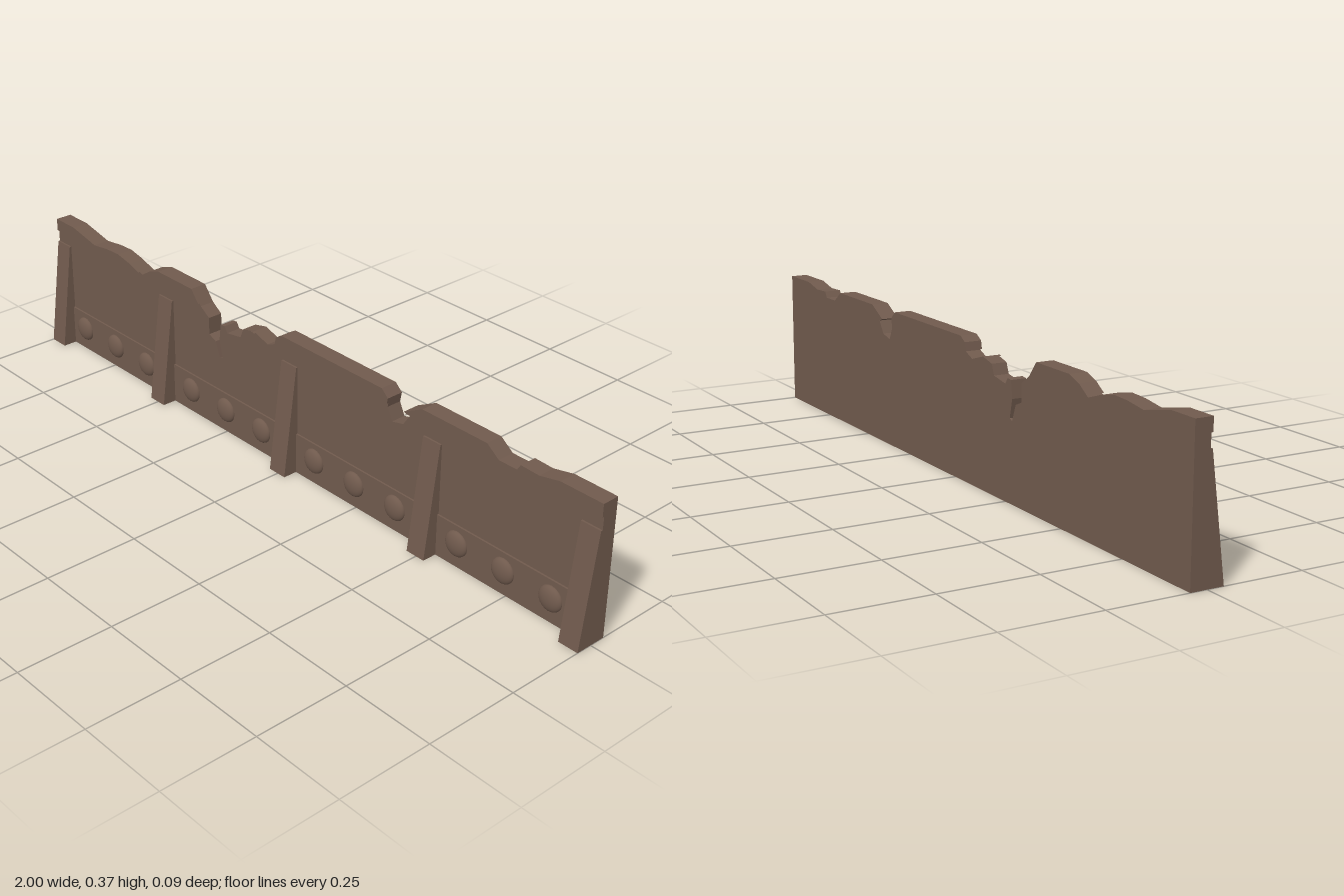
import * as THREE from 'three';

const BACK = -0.043, FACE = -0.002, TRIM = 0.003; // z of back, wall face, raised trim
const TOP = 0.369, LIP = 0.335;

// Broken top edge, from -x to +x
const edge = [
  [-1, TOP], [-0.92, TOP], [-0.82, 0.348], [-0.76, 0.356], [-0.71, 0.358], [-0.66, 0.348],
  [-0.607, 0.331], [-0.57, 0.355], [-0.53, TOP], [-0.388, TOP], [-0.356, 0.329], [-0.323, 0.307],
  [-0.323, 0.26], [-0.297, 0.249], [-0.281, 0.206], [-0.27, 0.211], [-0.281, 0.26], [-0.275, 0.305],
  [-0.259, 0.307], [-0.249, 0.291], [-0.195, 0.3], [-0.184, 0.327], [-0.142, 0.337], [-0.088, 0.321],
  [-0.056, 0.334], [-0.051, 0.356], [-0.029, TOP], [0.329, TOP], [0.35, 0.35], [0.345, 0.324],
  [0.361, 0.291], [0.398, 0.3], [0.42, 0.332], [0.404, 0.338], [0.463, TOP], [0.666, TOP],
  [0.703, 0.342], [0.757, 0.342], [0.767, 0.358], [0.821, 0.356], [0.88, TOP], [1, TOP],
];

function slab(points, z0, z1) {
  const shape = new THREE.Shape(points.map(([x, y]) => new THREE.Vector2(x, y)));
  const geo = new THREE.ExtrudeGeometry(shape, { depth: z1 - z0, bevelEnabled: false });
  return geo.translate(0, 0, z0);
}

// Splits the edge into the pieces that rise above height h
function piecesAbove(points, h) {
  const pieces = [];
  let run = points[0][1] > h ? [[points[0][0], h], points[0]] : [];
  for (let i = 1; i < points.length; i++) {
    const [a, b] = [points[i - 1], points[i]];
    if ((a[1] > h) !== (b[1] > h)) {
      const t = (h - a[1]) / (b[1] - a[1]);
      run.push([a[0] + t * (b[0] - a[0]), h]);
      if (b[1] <= h) { pieces.push(run); run = []; }
    }
    if (b[1] > h) run.push(b);
  }
  if (run.length) pieces.push([...run, [points.at(-1)[0], h]]);
  return pieces;
}

export function createModel() {
  const group = new THREE.Group();
  const material = new THREE.MeshStandardMaterial({ color: 0x705a4d });
  const add = (name, geo, x = 0, y = 0, z = 0) => {
    const mesh = new THREE.Mesh(geo, material);
    mesh.name = name;
    mesh.position.set(x, y, z);
    group.add(mesh);
    return mesh;
  };

  // Wall with broken top
  add('wall', slab([[-1, 0], ...edge, [1, 0]], BACK, FACE));

  // Raised lip along the surviving top
  for (const piece of piecesAbove(edge, LIP)) add('topLip', slab(piece, FACE, TRIM));

  // Band along the foot
  add('baseBand', new THREE.BoxGeometry(2, 0.112, TRIM - FACE), 0, 0.056, (TRIM + FACE) / 2);

  // Tapered buttresses: side profile (z, y) extruded across x
  const w = 0.056;
  const buttress = slab([[FACE, 0], [0.043, 0], [TRIM, 0.301], [FACE, 0.301]], -w / 2, w / 2);
  buttress.rotateY(-Math.PI / 2);
  // The turn sends profile x to +z
  for (const x of [-0.972, -0.502, -0.002, 0.497, 0.972]) add('buttress', buttress, x);

  // Domed rivets, three per bay
  const dome = new THREE.SphereGeometry(0.034, 20, 8, 0, Math.PI * 2, 0, Math.PI / 2);
  dome.rotateX(Math.PI / 2).scale(1, 1, 0.45);
  for (const middle of [-0.741, -0.253, 0.241, 0.737])
    for (const step of [-0.146, 0, 0.144]) add('rivet', dome, middle + step, 0.064, TRIM);

  return group;
}
